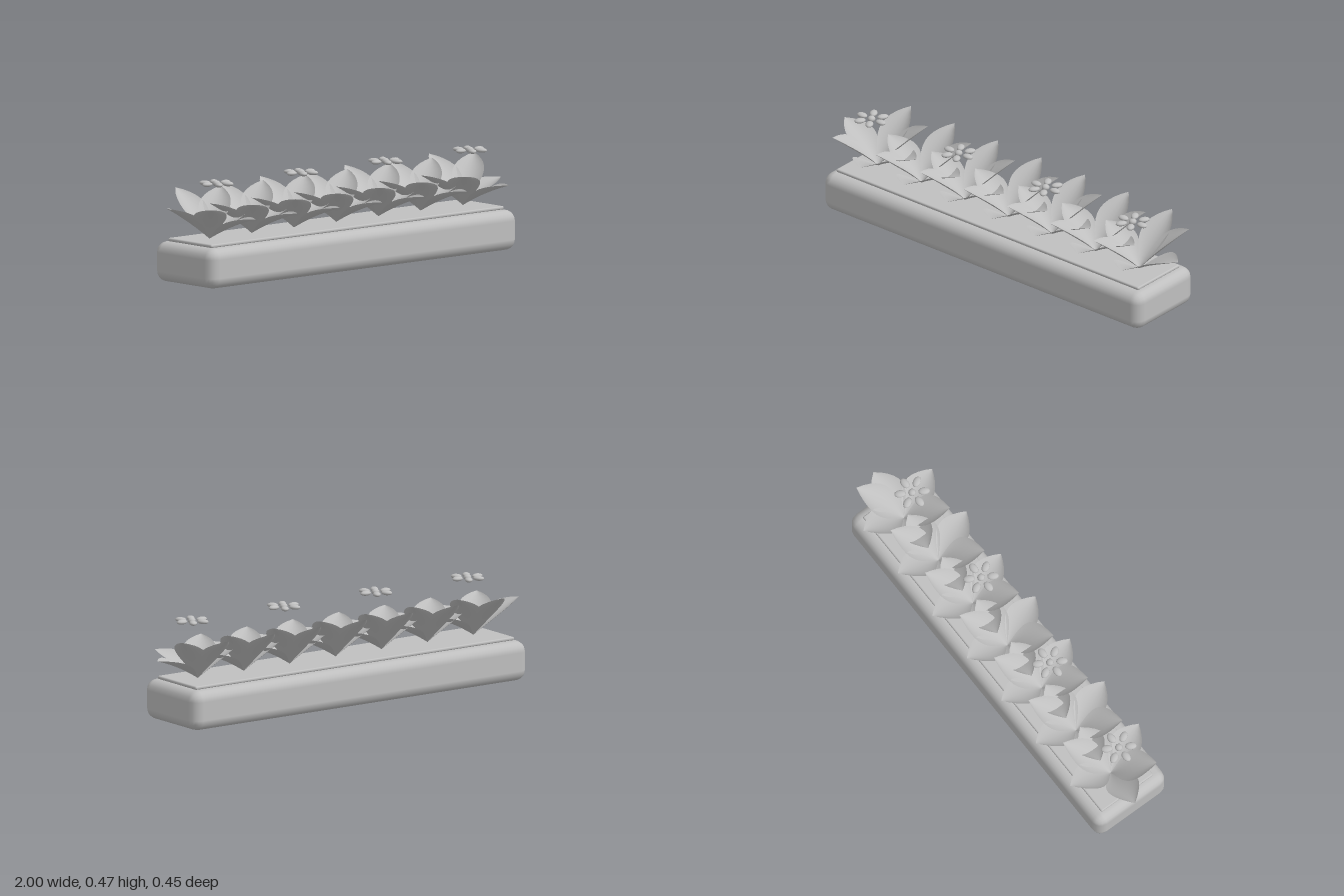
import * as THREE from 'three';
import { RoundedBoxGeometry } from 'three/addons/geometries/RoundedBoxGeometry.js';
import { ParametricGeometry } from 'three/addons/geometries/ParametricGeometry.js';

const grey = new THREE.MeshStandardMaterial({ color: 0xbfbfbf, side: THREE.DoubleSide });
grey.name = 'plainGrey';

function addMesh(parent, name, geometry, x = 0, y = 0, z = 0) {
  const mesh = new THREE.Mesh(geometry, grey);
  mesh.name = name;
  mesh.position.set(x, y, z);
  parent.add(mesh);
  return mesh;
}

// Pointed, cupped leaf running from the origin to its tip
function leafGeometry([tx, ty, tz], halfWidth) {
  const reach = Math.hypot(tx, tz);
  const out = new THREE.Vector3(tx / reach, 0, tz / reach);
  const side = new THREE.Vector3(out.z, 0, -out.x);
  const length = Math.hypot(reach, ty);
  return new ParametricGeometry((u, v, p) => {
    const t = u;
    const s = v * 2 - 1;
    const w = Math.pow(Math.max(0, Math.sin(Math.PI * Math.pow(t, 1.2))), 0.9);
    const cup = 0.024 * s * s * w;          // raised edges
    const bow = 0.035 * t * (1 - t);        // slight outward curl
    p.copy(out).multiplyScalar(reach * t - (ty / length) * (cup + bow));
    p.addScaledVector(side, s * halfWidth * w);
    p.y = ty * t + (reach / length) * (cup + bow);
  }, 12, 6);
}

// Leaf tips relative to the plant's base, with half widths
const LEAVES = [
  [[0.0, 0.21, -0.23], 0.073],
  [[0.185, 0.21, -0.13], 0.073],
  [[0.228, 0.107, 0.0], 0.078],
  [[0.08, 0.105, 0.222], 0.075],
  [[-0.135, 0.16, 0.16], 0.075],
  [[-0.228, 0.155, -0.035], 0.075],
].map(([tip, w]) => leafGeometry(tip, w));

function createPlant(x) {
  const plant = new THREE.Group();
  plant.name = 'plant';
  plant.position.set(x, 0.2, 0.003);
  LEAVES.forEach((geometry) => addMesh(plant, 'leaf', geometry));
  return plant;
}

// Six flattened petals round a small centre
function createFlower(x) {
  const flower = new THREE.Group();
  flower.name = 'flower';
  flower.position.set(x, 0.458, 0.05);
  const ball = new THREE.SphereGeometry(1, 12, 8);
  addMesh(flower, 'flowerCentre', ball).scale.set(0.018, 0.014, 0.018);
  for (let i = 0; i < 6; i++) {
    const a = (i * Math.PI) / 3;
    const petal = addMesh(flower, 'petal', ball, 0.055 * Math.cos(a), 0, 0.055 * Math.sin(a));
    petal.rotation.y = -a;
    petal.scale.set(0.027, 0.011, 0.018);
  }
  return flower;
}

export function createModel() {
  const model = new THREE.Group();
  model.name = 'flowerBox';

  // Rounded trough and the soil slab on top
  addMesh(model, 'planterBox', new RoundedBoxGeometry(1.875, 0.185, 0.4, 2, 0.05), -0.003, 0.0925, 0.005);
  addMesh(model, 'soil', new RoundedBoxGeometry(1.785, 0.016, 0.295, 2, 0.007), -0.003, 0.192, 0.005);

  // Row of seven plants, a flower over every second one
  for (let i = 0; i < 7; i++) {
    const x = (i - 3) * 0.2573;
    model.add(createPlant(x));
    if (i % 2 === 0) model.add(createFlower(x));
  }
  return model;
}
